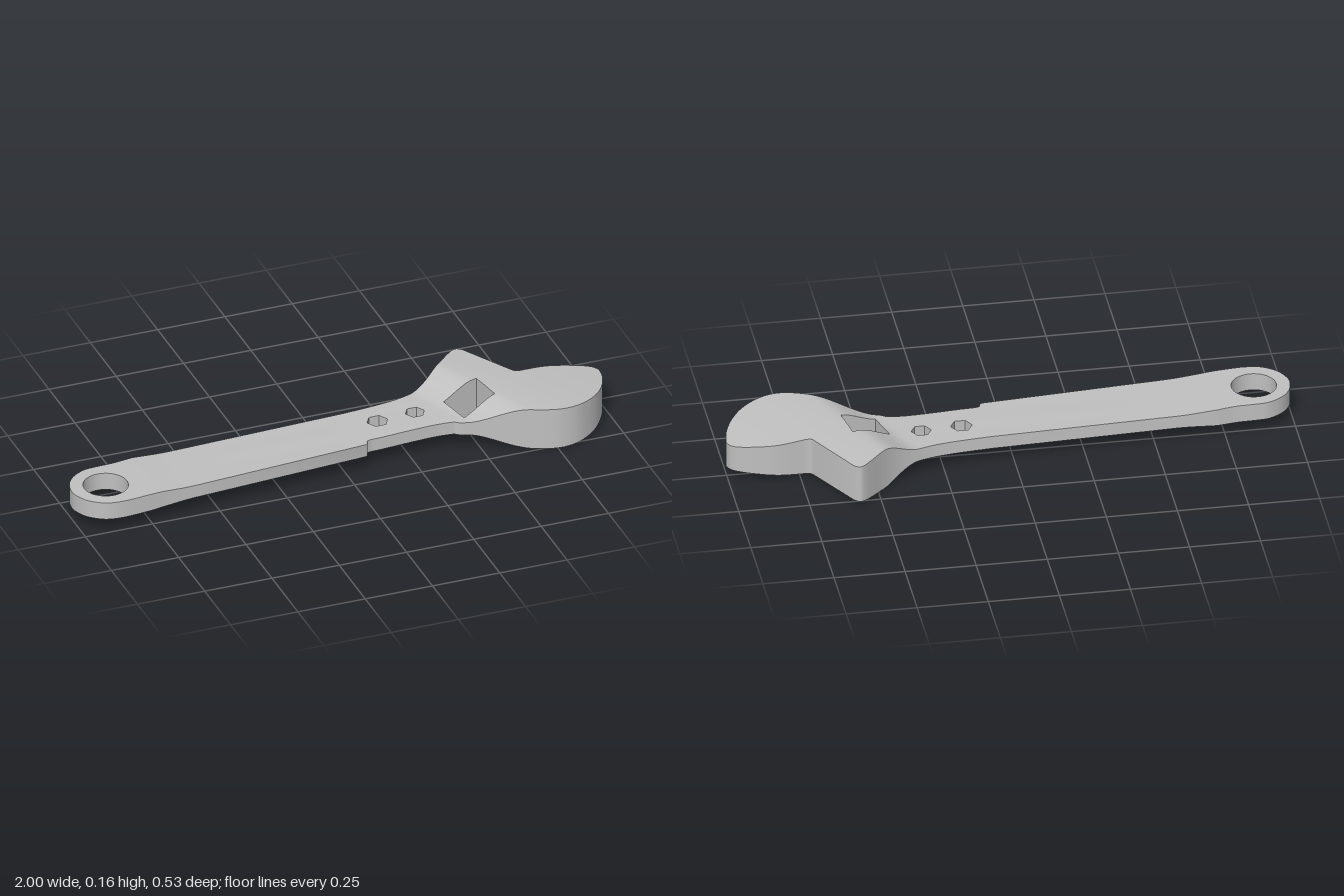
import * as THREE from 'three';
import { toCreasedNormals } from 'three/addons/utils/BufferGeometryUtils.js';

const MID = 0.0775; // height of the middle plane
const smooth = THREE.MathUtils.smoothstep;

// Directions in plan: along the handle, up the neck ramp, square to the fixed jaw
const along = (x, z) => x;
const neck = (x, z) => 0.914 * x - 0.407 * z;
const jaw = (x, z) => 0.842 * x - 0.54 * z;

// Half thickness at a plan position
function halfThickness(x, z) {
  const handle = 0.0325 - 0.0085 * smooth(x, -0.76, -0.58);
  const head = 0.0775 - 0.139 * Math.max(0, jaw(x, z) - 0.48) ** 1.5;
  return handle + (head - handle) * smooth(neck(x, z), 0.35, 0.515);
}

// Split triangles along the vertical plane where f(x, z) = c
function slice(triangles, f, c) {
  const out = [];
  for (const tri of triangles) {
    const d = tri.map((p) => f(p.x, p.z) - c);
    if (d.every((v) => v >= -1e-6) || d.every((v) => v <= 1e-6)) {
      out.push(tri);
      continue;
    }
    const sides = [[], []];
    for (let i = 0; i < 3; i++) {
      const j = (i + 1) % 3;
      if (d[i] >= -1e-6) sides[0].push(tri[i]);
      if (d[i] <= 1e-6) sides[1].push(tri[i]);
      if (Math.abs(d[i]) > 1e-6 && Math.abs(d[j]) > 1e-6 && d[i] * d[j] < 0) {
        // interpolate from the positive end so neighbours agree
        const [a, b, da, db] = d[i] > 0 ? [tri[i], tri[j], d[i], d[j]] : [tri[j], tri[i], d[j], d[i]];
        const p = a.clone().lerp(b, da / (da - db));
        sides[0].push(p);
        sides[1].push(p);
      }
    }
    for (const s of sides) {
      for (let k = 1; k + 1 < s.length; k++) out.push([s[0], s[k], s[k + 1]]);
    }
  }
  return out;
}

// Plan points are [x, z]
const vec = ([x, z]) => new THREE.Vector2(x, -z);

// Holes wind against the outline so their walls face inwards
function polygonHole(points) {
  return new THREE.Path(points.map(vec));
}

function roundHole(x, z, r, sides) {
  return polygonHole(Array.from({ length: sides }, (_, i) => {
    const a = (i / sides) * Math.PI * 2;
    return [x + r * Math.cos(a), z - r * Math.sin(a)];
  }));
}

function wrenchShape() {
  const s = new THREE.Shape();
  const spline = (pts) => s.splineThru(pts.map(vec));
  const line = (x, z) => s.lineTo(x, -z);
  s.moveTo(-0.72, 0.028);
  // back edge of the handle and the fixed jaw
  line(0.08, -0.063);
  spline([[0.2, -0.074], [0.3, -0.091], [0.4, -0.128], [0.47, -0.176], [0.53, -0.235], [0.558, -0.26],
    [0.577, -0.267], [0.595, -0.255]]);
  // mouth
  line(0.702, -0.064);
  spline([[0.712, -0.052], [0.73, -0.049]]);
  // rounded lower jaw
  spline([[0.83, -0.059], [0.92, -0.043], [0.98, -0.02], [1, 0.01]]);
  spline([[0.99, 0.07], [0.96, 0.14], [0.91, 0.205], [0.84, 0.252], [0.77, 0.266], [0.7, 0.25],
    [0.62, 0.214], [0.53, 0.178], [0.43, 0.143]]);
  // front edge with the small step
  line(0.415, 0.131);
  spline([[0.35, 0.126], [0.25, 0.131], [0.15, 0.139], [0.105, 0.141]]);
  spline([[0.087, 0.146], [0.082, 0.162], [0.072, 0.168]]);
  line(-0.7, 0.228);
  // rounded hanging end
  spline([[-0.78, 0.238], [-0.86, 0.244], [-0.92, 0.234], [-0.97, 0.197], [-0.995, 0.15], [-1, 0.115],
    [-0.99, 0.068], [-0.96, 0.025], [-0.91, -0.006], [-0.86, -0.013], [-0.79, -0.016], [-0.72, -0.028]]);
  s.holes.push(
    roundHole(-0.873, 0.115, 0.079, 40),
    roundHole(0.17, 0.028, 0.038, 6),
    roundHole(0.313, 0.018, 0.035, 6),
    polygonHole([[0.457, 0.118], [0.585, 0.082], [0.563, -0.038], [0.427, 0]]),
  );
  return s;
}

function bodyGeometry() {
  const flat = new THREE.ExtrudeGeometry(wrenchShape(), { depth: 1, bevelEnabled: false, curveSegments: 4 });
  flat.rotateX(-Math.PI / 2);
  const pos = flat.attributes.position;
  let triangles = [];
  for (let i = 0; i < pos.count; i += 3) {
    triangles.push([0, 1, 2].map((k) => new THREE.Vector3().fromBufferAttribute(pos, i + k)));
  }
  // add cuts wherever the thickness changes
  const cuts = [[along, -0.76, -0.58, 6], [neck, 0.35, 0.515, 12], [jaw, 0.48, 0.83, 10]];
  for (const [f, from, to, n] of cuts) {
    for (let i = 0; i <= n; i++) triangles = slice(triangles, f, from + ((to - from) * i) / n);
  }
  const points = triangles.flat().map((p) =>
    new THREE.Vector3(p.x, MID + (p.y * 2 - 1) * halfThickness(p.x, p.z), p.z));
  return toCreasedNormals(new THREE.BufferGeometry().setFromPoints(points), 0.5);
}

export function createModel() {
  const steel = new THREE.MeshStandardMaterial({ color: 0xc0c0c0 });
  steel.name = 'steel grey';
  const body = new THREE.Mesh(bodyGeometry(), steel);
  body.name = 'wrenchBody';
  const group = new THREE.Group();
  group.name = 'adjustableWrench';
  group.add(body);
  return group;
}
